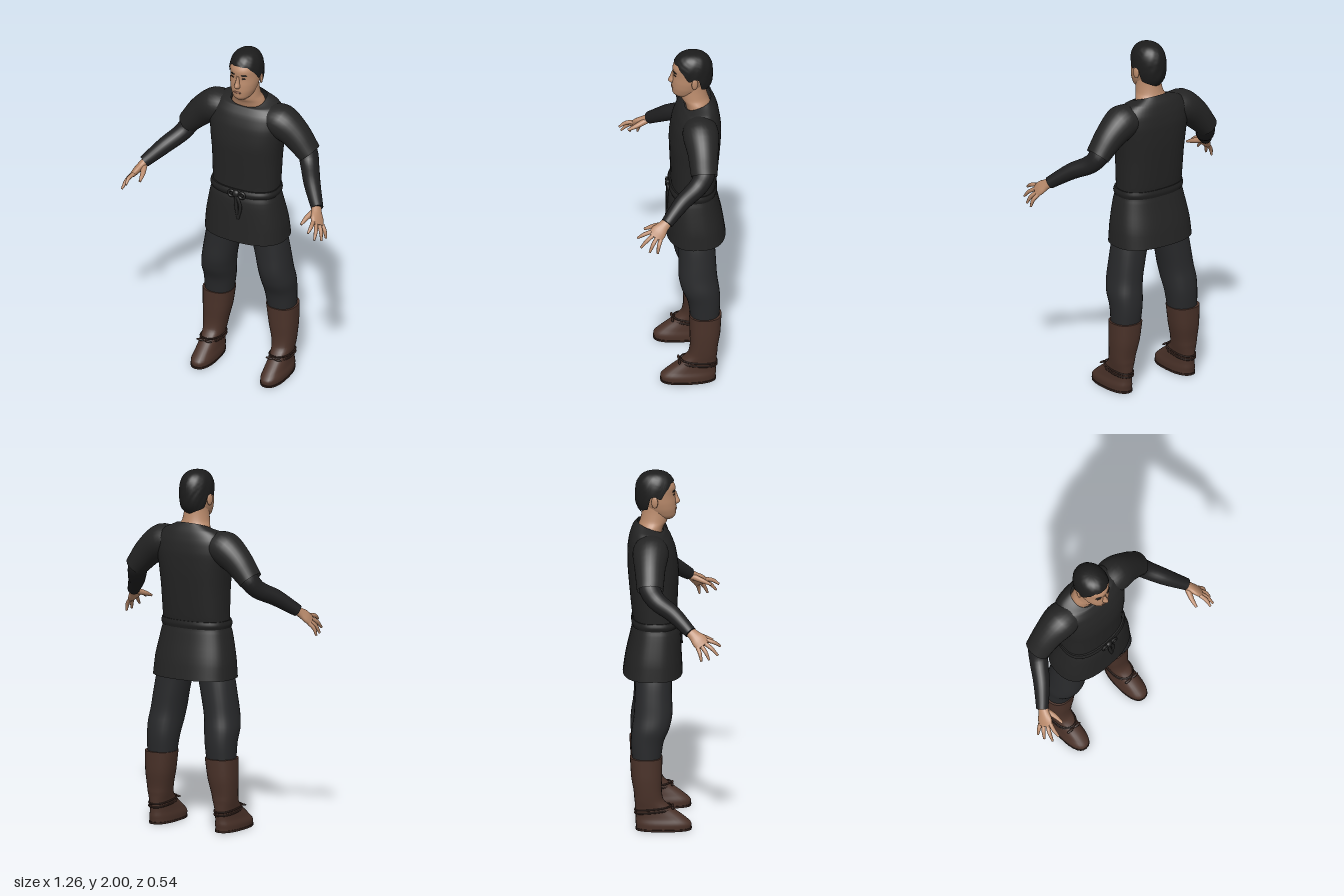
import * as THREE from 'three';

const mat = (name, color, side = THREE.FrontSide) => {
  const m = new THREE.MeshStandardMaterial({ color, side });
  m.name = name;
  return m;
};

// Smooth skin through rings {c, u, v}; ring = c + u*cos + v*sin, squared off by exponent e
function skin(rings, { n = 28, sub = 4, e = 2, capA = true, capB = true, s = 1 } = {}) {
  const curve = k => new THREE.CatmullRomCurve3(rings.map(r => r[k].clone().multiply(new THREE.Vector3(s, 1, 1))));
  const C = curve('c'), U = curve('u'), V = curve('v');
  const rows = (rings.length - 1) * sub, pos = [], idx = [];
  const pow = t => Math.sign(t) * Math.abs(t) ** (2 / e);
  const ring = i => {
    const t = i / rows, c = C.getPoint(t), u = U.getPoint(t), v = V.getPoint(t);
    for (let j = 0; j < n; j++) {
      const a = j / n * Math.PI * 2;
      const p = c.clone().addScaledVector(u, pow(Math.cos(a))).addScaledVector(v, pow(Math.sin(a)));
      pos.push(p.x, p.y, p.z);
    }
    return c;
  };
  for (let i = 0; i <= rows; i++) ring(i);
  const dir = C.getPoint(1).sub(C.getPoint(0));
  const out = U.getPoint(0.5).cross(V.getPoint(0.5)).dot(dir) > 0;
  const tri = (a, b, c, f = out) => (f ? idx.push(a, b, c) : idx.push(a, c, b));
  for (let i = 0; i < rows; i++) for (let j = 0; j < n; j++) {
    const k = (j + 1) % n, a = i * n + j, b = i * n + k;
    tri(a, b, b + n);
    tri(a, b + n, a + n);
  }
  const cap = (i, f) => {
    const base = pos.length / 3, c = ring(i);
    pos.push(c.x, c.y, c.z);
    for (let j = 0; j < n; j++) tri(base + n, base + j, base + (j + 1) % n, f);
  };
  if (capA) cap(0, !out);
  if (capB) cap(rows, out);
  const g = new THREE.BufferGeometry();
  g.setAttribute('position', new THREE.Float32BufferAttribute(pos, 3));
  g.setIndex(idx);
  g.computeVertexNormals();
  return g;
}

// Upright form from level rings [y, xMin, xMax, zFront, zBack, frontTilt]
const upright = (rows, opt) => skin(rows.map(([y, x0, x1, zf, zb, t = 0]) => ({
  c: new THREE.Vector3((x0 + x1) / 2, y, (zf + zb) / 2),
  u: new THREE.Vector3((x1 - x0) / 2, 0, 0),
  v: new THREE.Vector3(0, t, (zf - zb) / 2),
})), opt);
const centred = (rows, opt) => upright(rows.map(([y, r, ...z]) => [y, -r, r, ...z]), opt);

// Limb along points [x, y, z, ra, rb]; rb is measured along the given axis
function limb(pts, opt = {}) {
  const P = pts.map(p => new THREE.Vector3(p[0], p[1], p[2]));
  const axis = new THREE.Vector3(...(opt.axis || [0, 0, 1]));
  return skin(pts.map((p, i) => {
    const d = P[Math.min(i + 1, P.length - 1)].clone().sub(P[Math.max(i - 1, 0)]).normalize();
    const v = axis.clone().addScaledVector(d, -axis.dot(d)).normalize();
    const u = new THREE.Vector3().crossVectors(d, v);
    return { c: P[i], u: u.multiplyScalar(p[3]), v: v.multiplyScalar(p[4] ?? p[3]) };
  }), opt);
}

// Short hair: a cap whose lower edge follows the hairline around the head
function hairCap() {
  const edge = [[0, 1.945], [35, 1.94], [60, 1.9], [76, 1.855], [92, 1.875], [104, 1.87], [114, 1.8], [180, 1.765]];
  const edgeY = d => {
    const i = Math.max(1, edge.findIndex(p => p[0] >= d)), [a, ya] = edge[i - 1], [b, yb] = edge[i];
    return ya + (yb - ya) * (d - a) / (b - a);
  };
  const g = new THREE.PlaneGeometry(1, 1, 72, 20), p = g.attributes.position;
  for (let i = 0; i < p.count; i++) {
    const az = p.getX(i) * Math.PI * 2, q = 0.5 - p.getY(i);
    const low = edgeY(Math.min(180, Math.abs(az) * 180 / Math.PI));
    const y = 2 - (2 - low) * q * q;
    const t = Math.min(1, Math.abs(y - 1.87) / (y > 1.87 ? 0.13 : 0.125));
    const r = (1 - t ** 2.6) ** (1 / 2.6) * (1 + 0.012 * Math.sin(az * 11 + y * 90) * Math.sin(y * 150));
    p.setXYZ(i, Math.sin(az) * 0.092 * r, y, -0.09 + Math.cos(az) * 0.113 * r);
  }
  g.computeVertexNormals();
  return g;
}

export function createModel() {
  const model = new THREE.Group();
  const tunic = mat('tunic cloth', 0x242424, THREE.DoubleSide);
  const under = mat('undershirt cloth', 0x1f1f20);
  const trouser = mat('trouser cloth', 0x28292b);
  const leather = mat('boot leather', 0x4a3229);
  const strap = mat('strap leather', 0x33221c);
  const flesh = mat('skin', 0xb98a6b);
  const lip = mat('lips', 0x94634f);
  const hair = mat('hair', 0x1c1c1c, THREE.DoubleSide);
  const eye = mat('eyes', 0x3a2a22);
  const belt = mat('belt cloth', 0x202020);
  const add = (name, g, m) => {
    const mesh = new THREE.Mesh(g, m);
    mesh.name = name;
    model.add(mesh);
    return mesh;
  };
  const ball = (name, m, p, size, turn = 0) => {
    const b = add(name, new THREE.SphereGeometry(1, 16, 12), m);
    b.position.set(...p);
    b.scale.set(...size);
    b.rotation.y = turn;
    return b;
  };

  // Tunic body, open at hem and collar
  add('tunic', centred([
    [0.85, 0.243, 0.06, -0.27], [0.95, 0.235, 0.055, -0.255], [1.1, 0.206, 0.045, -0.222],
    [1.15, 0.194, 0.03, -0.213], [1.2, 0.195, 0.03, -0.22], [1.35, 0.2, 0.036, -0.235],
    [1.45, 0.21, 0.038, -0.243], [1.55, 0.22, 0.022, -0.245], [1.62, 0.213, -0.005, -0.235],
    [1.67, 0.17, -0.035, -0.215, -0.01], [1.692, 0.1, -0.045, -0.19, -0.028],
  ], { n: 48, e: 2.5, capA: false, capB: false }), tunic);

  // Belt with knot and hanging ends
  add('belt', centred([
    [1.13, 0.2, 0.04, -0.22], [1.15, 0.205, 0.046, -0.224], [1.172, 0.2, 0.038, -0.22],
  ], { n: 48, e: 2.5 }), belt);
  ball('beltKnot', belt, [0.005, 1.152, 0.047], [0.022, 0.022, 0.016]);
  for (const x of [-0.022, 0.042]) {
    const loop = add('beltLoop', new THREE.TorusGeometry(0.018, 0.007, 8, 16), belt);
    loop.position.set(x, 1.15, 0.05);
  }
  for (const x of [0.008, 0.034])
    add('beltEnd', limb([[0.005, 1.15, 0.05, 0.009, 0.006], [x, 1.08, 0.053, 0.011, 0.006],
      [0.022, 1.0, 0.056, 0.008, 0.005]], { n: 10 }), belt);

  // Neck and head
  add('neck', centred([
    [1.63, 0.11, -0.06, -0.195], [1.69, 0.092, -0.042, -0.185], [1.72, 0.077, -0.024, -0.175],
    [1.77, 0.069, -0.02, -0.165], [1.82, 0.065, -0.03, -0.16],
  ]), flesh);
  add('head', centred([
    [1.73, 0.034, 0.004, -0.09], [1.75, 0.055, 0.021, -0.125], [1.79, 0.072, 0.025, -0.15],
    [1.83, 0.08, 0.023, -0.17], [1.87, 0.083, 0.018, -0.185], [1.91, 0.084, 0.02, -0.19],
    [1.95, 0.074, 0, -0.175], [1.98, 0.04, -0.04, -0.13],
  ], { n: 36 }), flesh);
  add('nose', centred([
    [1.885, 0.009, 0.024, -0.01], [1.85, 0.012, 0.036, -0.01],
    [1.826, 0.018, 0.046, -0.01], [1.812, 0.014, 0.032, -0.01],
  ], { n: 16 }), flesh);
  ball('mouth', lip, [0, 1.786, 0.023], [0.024, 0.006, 0.005]);
  add('hair', hairCap(), hair);

  for (const s of [1, -1]) {
    const side = s > 0 ? 'left' : 'right';
    ball(side + 'Eye', eye, [s * 0.035, 1.873, 0.011], [0.013, 0.004, 0.003], s * 0.38);
    ball(side + 'Brow', hair, [s * 0.036, 1.893, 0.011], [0.018, 0.004, 0.004], s * 0.38);
    ball(side + 'Ear', flesh, [s * 0.088, 1.843, -0.095], [0.009, 0.033, 0.019], s * 0.3);

    // Short sleeve over a long tight one
    add(side + 'Sleeve', limb([
      [0.09, 1.6, -0.118, 0.07, 0.08], [0.2, 1.585, -0.118, 0.095, 0.1],
      [0.29, 1.52, -0.122, 0.082, 0.085], [0.374, 1.425, -0.122, 0.063, 0.073],
    ], { s, capB: false }), tunic);
    add(side + 'Undersleeve', limb([
      [0.29, 1.51, -0.125, 0.055, 0.06], [0.362, 1.425, -0.122, 0.055, 0.06],
      [0.395, 1.37, -0.085, 0.05, 0.053], [0.457, 1.315, 0.005, 0.046], [0.538, 1.235, 0.1, 0.034],
    ], { s, n: 22 }), under);

    // Hand with four fingers and a thumb
    const axis = [0.44, -0.51, -0.74];
    add(side + 'Palm', limb([
      [0.525, 1.248, 0.085, 0.024, 0.027], [0.545, 1.22, 0.12, 0.022, 0.033],
      [0.562, 1.196, 0.148, 0.02, 0.045], [0.578, 1.172, 0.17, 0.014, 0.044],
    ], { s, n: 18, axis }), flesh);
    const tips = [[0.565, 1.165, 0.265], [0.598, 1.122, 0.25], [0.617, 1.1, 0.202], [0.623, 1.094, 0.158]];
    tips.forEach((tip, i) => {
      const k = (i - 1.5) * 0.023;
      const root = [0.573 + axis[0] * k, 1.18 + axis[1] * k, 0.164 + axis[2] * k];
      const mid = root.map((r, j) => (r + tip[j]) / 2 + [0.006, 0.006, 0.003][j]);
      add(side + 'Finger', limb([[...root, 0.012], [...mid, 0.011], [...tip, 0.006]], { s, n: 10 }), flesh);
    });
    add(side + 'Thumb', limb([[0.53, 1.222, 0.115, 0.018], [0.51, 1.203, 0.17, 0.014],
      [0.501, 1.182, 0.222, 0.007]], { s, n: 12 }), flesh);

    // Trouser leg
    add(side + 'TrouserLeg', upright([
      [0.97, 0, 0.2, 0.015, -0.2], [0.85, 0.036, 0.235, 0, -0.2], [0.75, 0.06, 0.253, 0, -0.205],
      [0.65, 0.08, 0.268, 0.002, -0.21], [0.58, 0.09, 0.279, -0.012, -0.22],
      [0.5, 0.1, 0.277, -0.045, -0.226], [0.39, 0.115, 0.274, -0.062, -0.22],
    ], { s, e: 2.2 }), trouser);

    // Tall boot with ankle straps
    add(side + 'Boot', upright([
      [0.413, 0.109, 0.285, -0.053, -0.232], [0.3, 0.125, 0.284, -0.055, -0.225],
      [0.21, 0.145, 0.278, -0.056, -0.21], [0.165, 0.153, 0.273, -0.045, -0.206],
      [0.12, 0.16, 0.268, 0.005, -0.203], [0.07, 0.157, 0.272, 0.072, -0.2],
      [0.035, 0.152, 0.28, 0.107, -0.2], [0.004, 0.153, 0.278, 0.103, -0.197],
    ], { s, e: 2.4 }), leather);
    const sole = upright([[0, 0.151, 0.281, 0.107, -0.2], [0.012, 0.15, 0.282, 0.11, -0.202]], { s, e: 2.4, sub: 1 });
    add(side + 'Sole', sole, strap);
    for (const y of [0.108, 0.126]) {
      const pts = Array.from({ length: 16 }, (_, i) => {
        const a = i / 8 * Math.PI, f = Math.sin(a), c = Math.cos(a);
        const pw = t => Math.sign(t) * Math.abs(t) ** 0.83;
        return new THREE.Vector3(s * (0.214 + 0.056 * pw(c)), y + 0.012 * f, -0.105 + 0.1 * pw(f));
      });
      add(side + 'AnkleStrap', new THREE.TubeGeometry(new THREE.CatmullRomCurve3(pts, true), 48, 0.005, 6, true), strap);
    }
    for (const x of [0.19, 0.24])
      ball(side + 'StrapBow', strap, [s * x, 0.128, 0.004], [0.024, 0.006, 0.008]);
  }
  return model;
}
